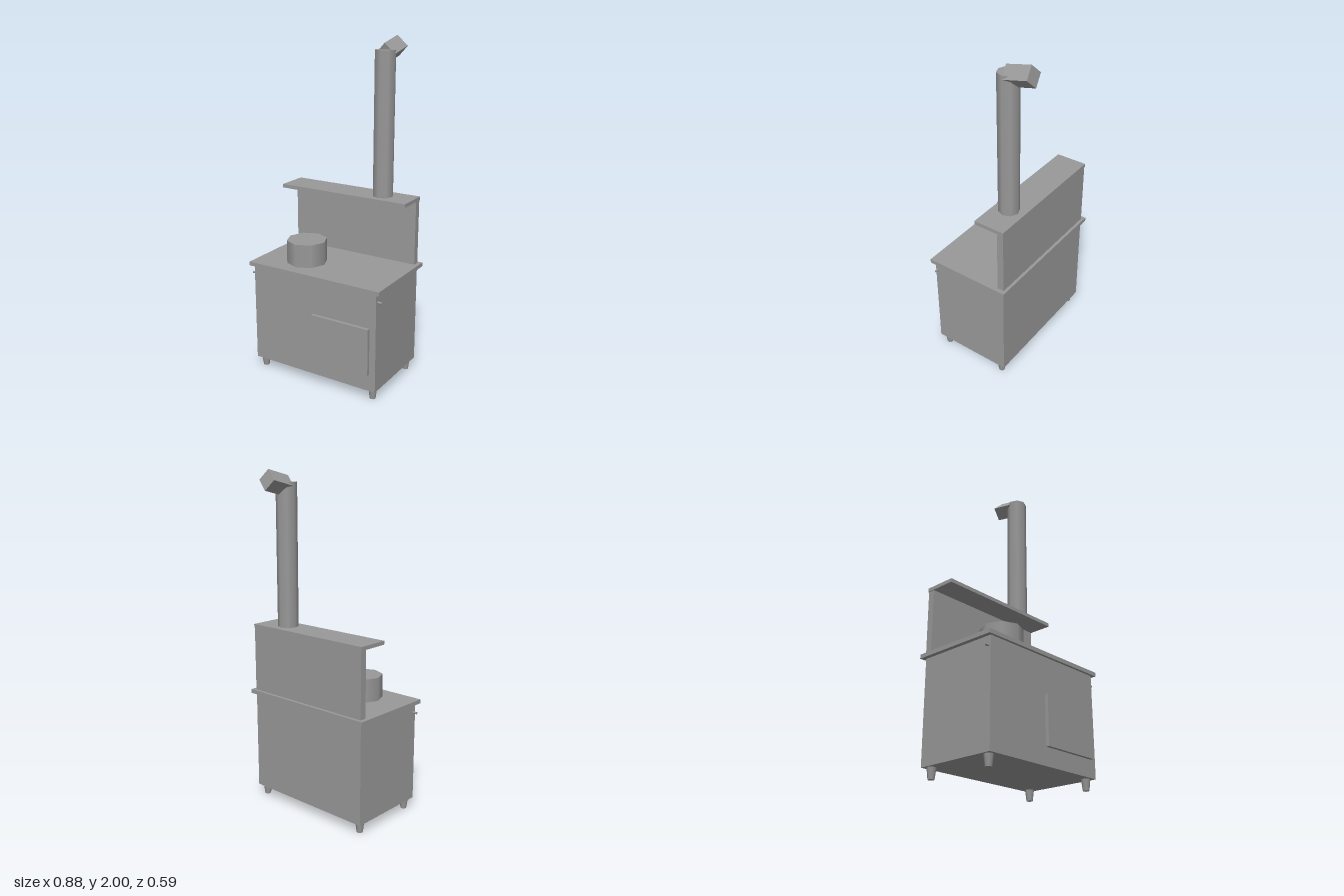
import * as THREE from 'three';

export function createModel() {
  const group = new THREE.Group();
  const gray = new THREE.MeshStandardMaterial({ color: 0x999999 });
  gray.name = 'stove gray';

  const add = (name, geometry, x, y, z) => {
    const mesh = new THREE.Mesh(geometry, gray);
    mesh.name = name;
    mesh.position.set(x, y, z);
    group.add(mesh);
    return mesh;
  };
  // box given by its limits on each axis
  const box = (name, x0, x1, y0, y1, z0, z1) =>
    add(name, new THREE.BoxGeometry(x1 - x0, y1 - y0, z1 - z0),
      (x0 + x1) / 2, (y0 + y1) / 2, (z0 + z1) / 2);
  // upright eight-sided cylinder with smooth sides
  const drum = (name, rTop, rBottom, y0, y1, x, z) =>
    add(name, new THREE.CylinderGeometry(rTop, rBottom, y1 - y0, 8), x, (y0 + y1) / 2, z);

  // cabinet
  box('body', -0.416, 0.416, 0.063, 0.664, -0.22, 0.275);
  box('worktop', -0.441, 0.441, 0.664, 0.688, -0.241, 0.291);
  box('ovenDoor', 0, 0.377, 0.165, 0.45, 0.27, 0.295);

  // splashback and shelf
  box('backPanel', -0.416, 0.416, 0.688, 1.075, -0.223, -0.182);
  box('shelf', -0.42, 0.419, 1.075, 1.097, -0.225, -0.034);

  // tapered feet
  for (const x of [-0.38, 0.38])
    for (const z of [-0.178, 0.233]) drum('foot', 0.026, 0.018, 0, 0.064, x, z);

  // rail ends poking out of both sides
  for (const side of [-1, 1]) {
    const peg = add('sidePeg', new THREE.CylinderGeometry(0.007, 0.007, 0.035, 8), side * 0.424, 0.611, 0.257);
    peg.rotation.z = Math.PI / 2;
  }

  // pot and chimney pipe
  drum('pot', 0.121, 0.121, 0.688, 0.827, -0.154, 0.101);
  drum('chimneyPipe', 0.061, 0.061, 1.097, 1.93, 0.228, -0.127);

  // square outlet leaning backwards, standing on its corner
  const start = new THREE.Vector3(0.228, 1.908, -0.127);
  const end = new THREE.Vector3(0.228, 1.943, -0.277);
  const length = start.distanceTo(end);
  const square = new THREE.CylinderGeometry(0.06, 0.06, length, 4).toNonIndexed();
  square.computeVertexNormals();
  const outlet = add('chimneyOutlet', square, 0, 0, 0);
  outlet.position.copy(start).add(end).multiplyScalar(0.5);
  outlet.rotation.x = -Math.atan2(start.z - end.z, end.y - start.y);

  return group;
}
